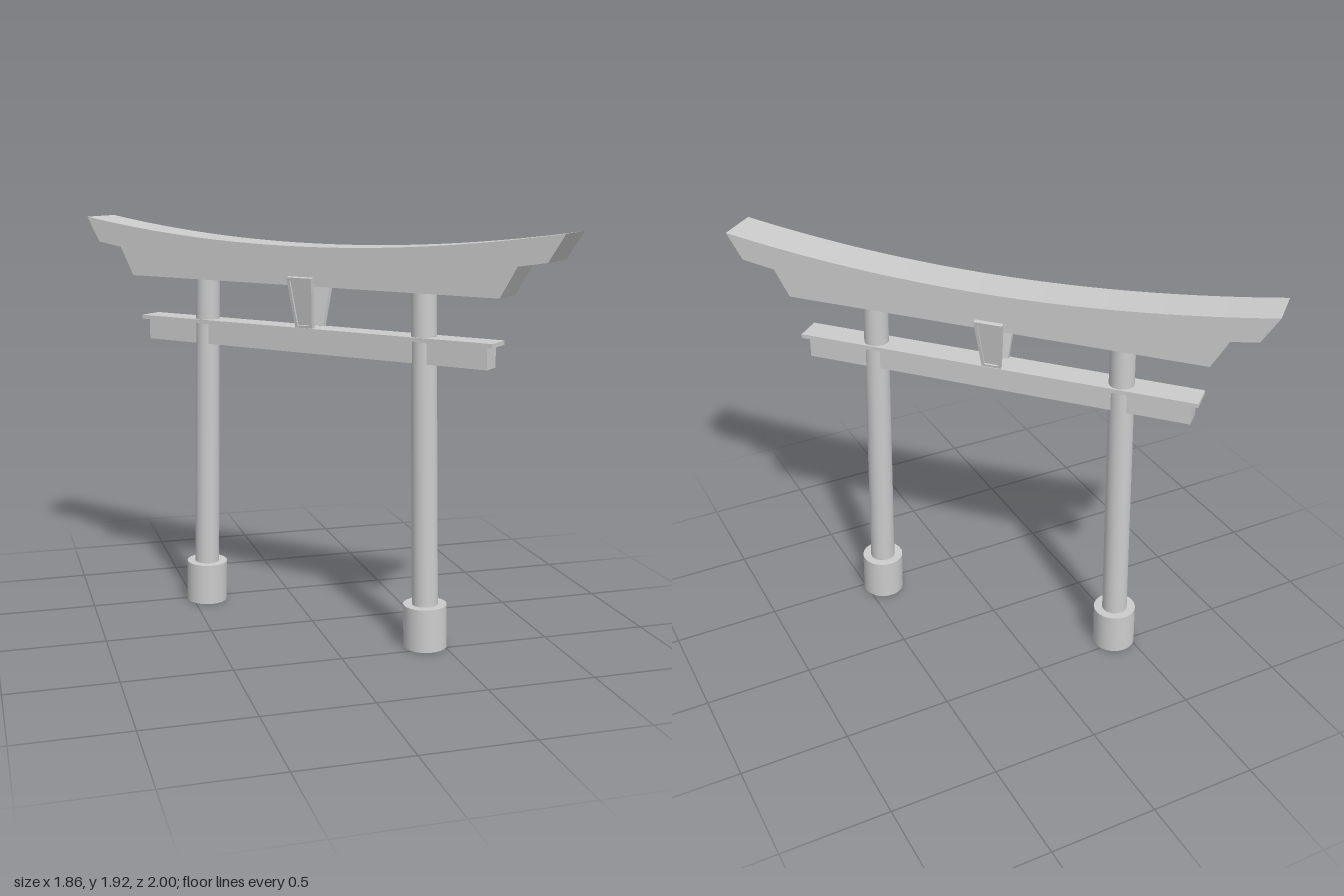
import * as THREE from 'three';
import { toCreasedNormals } from 'three/addons/utils/BufferGeometryUtils.js';

const material = new THREE.MeshStandardMaterial({ color: 0xcccccc });

function add(parent, name, geometry, x = 0, y = 0, z = 0) {
  const mesh = new THREE.Mesh(geometry, material);
  mesh.name = name;
  mesh.position.set(x, y, z);
  parent.add(mesh);
  return mesh;
}

// Extrude a shape to a depth centred on z = 0, smooth along its curves
function slab(shape, depth) {
  const g = new THREE.ExtrudeGeometry(shape, { depth, bevelEnabled: false, curveSegments: 32 });
  g.translate(0, 0, -depth / 2);
  return toCreasedNormals(g, 0.5);
}

// Symmetric trapezoid standing on y = 0, inset by a margin
function trapezoid(target, bottom, top, height, inset = 0) {
  const slope = (top - bottom) / height;
  const lo = bottom + slope * inset - inset;
  const hi = top - slope * inset - inset;
  target.moveTo(-lo, inset);
  target.lineTo(lo, inset);
  target.lineTo(hi, height - inset);
  target.lineTo(-hi, height - inset);
  target.closePath();
  return target;
}

export function createModel() {
  const model = new THREE.Group();
  model.name = 'shrineGate';

  // The gate is built along x, then turned diagonally
  const gate = new THREE.Group();
  gate.name = 'gate';
  gate.rotation.y = -0.8275;
  model.add(gate);

  // Curved top lintel with slanted ends
  const lintel = new THREE.Shape();
  lintel.moveTo(-1.19, 1.8);
  lintel.quadraticCurveTo(0, 1.6, 1.19, 1.8);
  lintel.lineTo(1.263, 1.92);
  lintel.quadraticCurveTo(0, 1.72, -1.263, 1.92);
  lintel.closePath();
  add(gate, 'topLintel', slab(lintel, 0.205));

  const body = new THREE.Group();
  body.name = 'lowerFrame';
  body.position.x = -0.01;
  gate.add(body);

  // Second lintel, flat below and following the curve above
  const under = new THREE.Shape();
  under.moveTo(-0.983, 1.64);
  under.lineTo(0.983, 1.64);
  under.lineTo(1.062, 1.781);
  under.quadraticCurveTo(0, 1.625, -1.062, 1.781);
  under.closePath();
  add(body, 'secondLintel', slab(under, 0.165));

  // Tie beam and its cap board
  add(body, 'tieBeam', new THREE.BoxGeometry(1.834, 0.1, 0.09), 0, 1.375, 0);
  add(body, 'tieBeamCap', new THREE.BoxGeometry(1.896, 0.019, 0.13), 0, 1.434, 0);

  // Pillars lean inward on thick round footings
  for (const side of [1, -1]) {
    const pillar = new THREE.Group();
    pillar.name = side > 0 ? 'leftPillar' : 'rightPillar';
    pillar.position.set(side * 0.625, 0.0025, 0);
    pillar.rotation.z = side * 0.024;
    body.add(pillar);
    add(pillar, 'footing', new THREE.CylinderGeometry(0.1, 0.1, 0.203, 40), 0, 0.1015, 0);
    add(pillar, 'shaft', new THREE.CylinderGeometry(0.057, 0.06, 1.5, 40), 0, 0.92, 0);
  }

  // Framed tablets lean outward on both faces
  const height = 0.24;
  const frame = trapezoid(new THREE.Shape(), 0.045, 0.067, height);
  frame.holes.push(trapezoid(new THREE.Path(), 0.045, 0.067, height, 0.014));
  const panel = trapezoid(new THREE.Shape(), 0.045, 0.067, height, 0.012);
  for (const turn of [0, Math.PI]) {
    const holder = new THREE.Group();
    holder.name = turn ? 'backTablet' : 'frontTablet';
    holder.rotation.y = turn;
    body.add(holder);
    const tablet = new THREE.Group();
    tablet.name = 'leaningTablet';
    tablet.position.set(0, 1.443, 0.05);
    tablet.rotation.x = 0.177;
    holder.add(tablet);
    add(tablet, 'tabletFrame', slab(frame, 0.022));
    add(tablet, 'tabletPanel', slab(panel, 0.012), 0, 0, -0.004);
  }

  return model;
}
